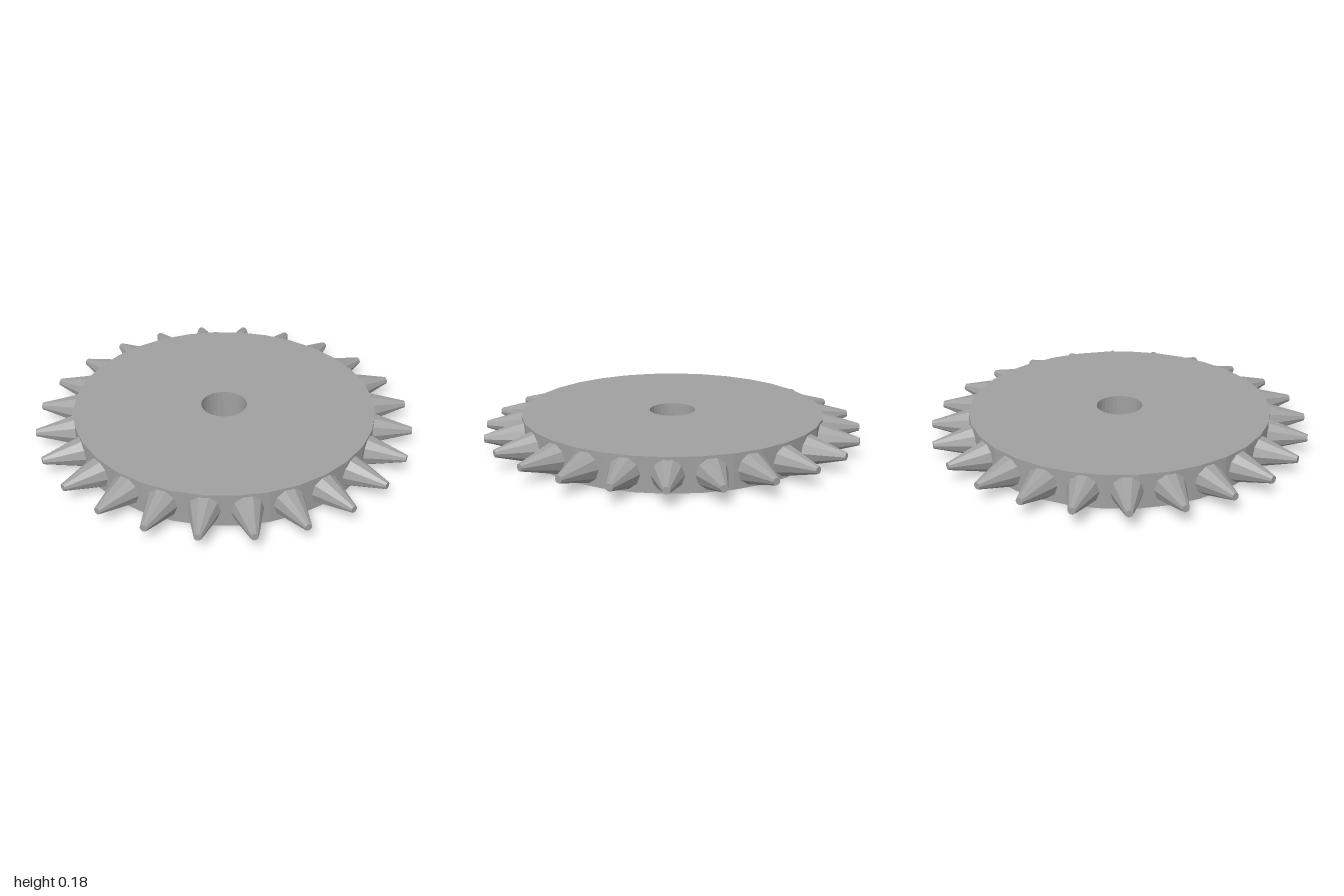
import * as THREE from 'three';

const THICKNESS = 0.18;
const SPIKES = 24;
const SIDES = 32;

// Regular polygon points, used for the rim and the bore
function ring(radius, count) {
  return Array.from({ length: count }, (_, i) => {
    const a = (i / count) * Math.PI * 2;
    return new THREE.Vector2(Math.cos(a) * radius, Math.sin(a) * radius);
  });
}

export function createModel() {
  const group = new THREE.Group();
  group.name = 'spikedWheel';
  const steel = new THREE.MeshStandardMaterial({ color: 0xa0a0a0, flatShading: true });
  steel.name = 'grey steel';

  // Flat disc with a centre bore
  const outline = new THREE.Shape(ring(0.8, SIDES));
  outline.holes.push(new THREE.Path(ring(0.122, SIDES)));
  const discGeo = new THREE.ExtrudeGeometry(outline, { depth: THICKNESS, bevelEnabled: false });
  discGeo.rotateX(-Math.PI / 2);
  const disc = new THREE.Mesh(discGeo, steel);
  disc.name = 'disc';
  group.add(disc);

  // Blunt cone pointing along +x, its base sunk into the rim
  const inner = 0.775, outer = 1;
  const spikeGeo = new THREE.CylinderGeometry(0.019, 0.086, outer - inner, 10);
  spikeGeo.rotateZ(-Math.PI / 2);
  spikeGeo.translate((inner + outer) / 2, THICKNESS / 2, 0);

  // Spikes evenly spaced around the rim
  const spikes = new THREE.Group();
  spikes.name = 'spikes';
  for (let i = 0; i < SPIKES; i++) {
    const spike = new THREE.Mesh(spikeGeo, steel);
    spike.name = 'spike';
    spike.rotation.y = (i / SPIKES) * Math.PI * 2;
    spikes.add(spike);
  }
  group.add(spikes);
  return group;
}
